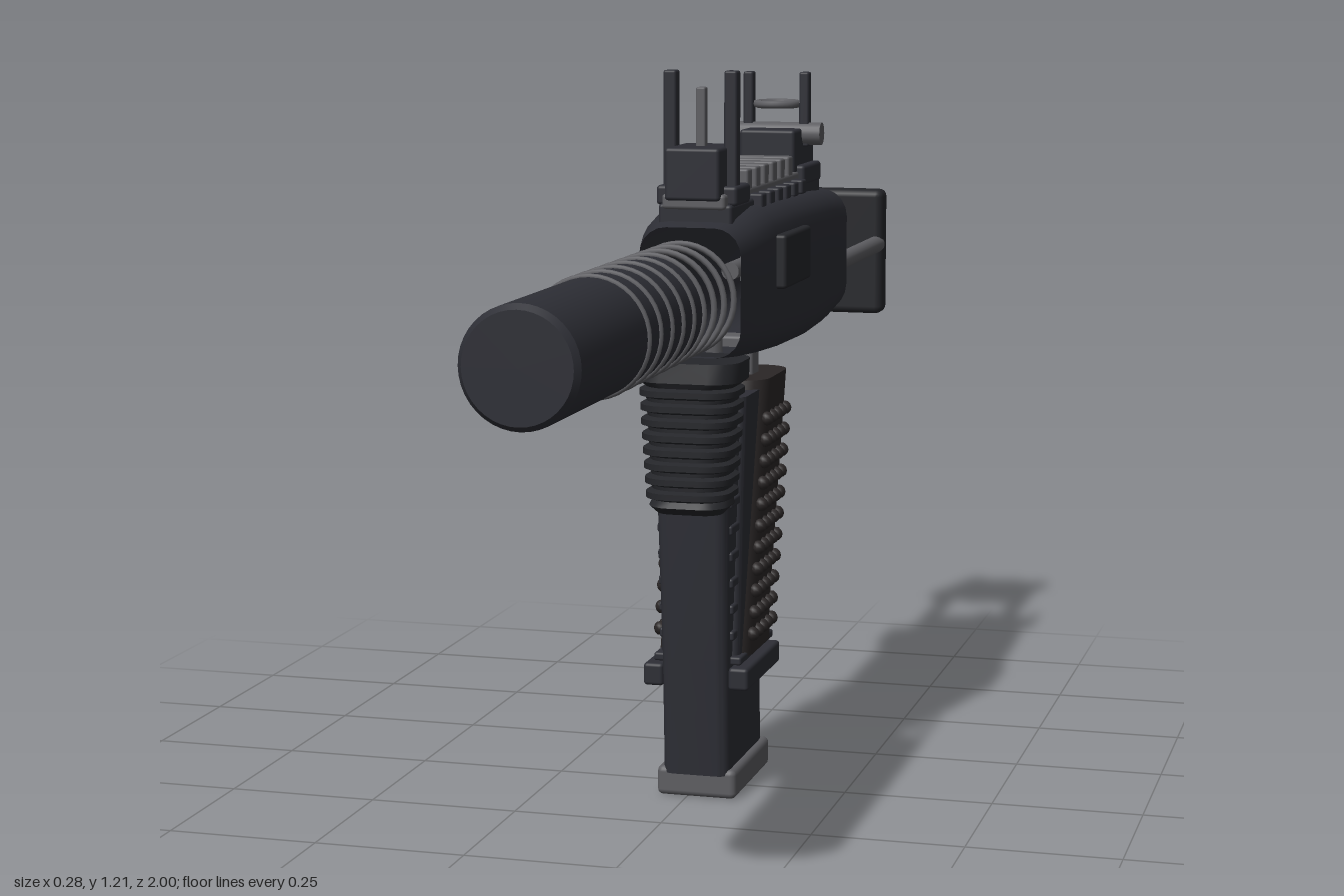
import * as THREE from 'three';
import { toCreasedNormals } from 'three/addons/utils/BufferGeometryUtils.js';
import { RoundedBoxGeometry } from 'three/addons/geometries/RoundedBoxGeometry.js';

const CX = 0.016; // centre line of the model
const mat = (color) => new THREE.MeshStandardMaterial({ color, side: THREE.DoubleSide });

// Rounded-rectangle loft along z; station: [z, halfWidth, v0, v1, radius]
function loft(stations, capped, crease = 0.6) {
  const K = 5, N = 4 * (K + 1), pos = [], idx = [];
  for (const [z, h, v0, v1, r] of stations) {
    const corners = [[h - r, v1 - r], [r - h, v1 - r], [r - h, v0 + r], [h - r, v0 + r]];
    corners.forEach(([x, v], q) => {
      for (let k = 0; k <= K; k++) {
        const a = (q + k / K) * Math.PI / 2;
        pos.push(x + r * Math.cos(a), v + r * Math.sin(a), z);
      }
    });
  }
  const last = stations.length - 1;
  for (let i = 0; i < last; i++) for (let j = 0; j < N; j++) {
    const a = i * N + j, b = i * N + (j + 1) % N;
    idx.push(a, b, b + N, a, b + N, a + N);
  }
  if (capped) for (const i of [0, last]) {
    const [z, , v0, v1] = stations[i], c = pos.length / 3;
    pos.push(0, (v0 + v1) / 2, z);
    for (let j = 0; j < N; j++) {
      const a = i * N + j, b = i * N + (j + 1) % N;
      if (i) idx.push(c, a, b); else idx.push(c, b, a);
    }
  }
  const g = new THREE.BufferGeometry();
  g.setAttribute('position', new THREE.Float32BufferAttribute(pos, 3));
  g.setIndex(idx);
  return toCreasedNormals(g, crease);
}

// Same loft standing upright; station: [y, halfWidth, zBack, zFront, radius]
const upright = (stations) =>
  loft(stations.map(([y, h, zb, zf, r]) => [y, h, -zf, -zb, r]), true).rotateX(-Math.PI / 2);

export function createModel() {
  const root = new THREE.Group();
  const dark = mat(0x2d2e35), black = mat(0x25262a), grey = mat(0x5e5e62), gripMat = mat(0x2a2626);

  const add = (name, geo, m, x = 0, y = 0, z = 0, parent = root) => {
    const mesh = new THREE.Mesh(geo, m);
    mesh.name = name;
    mesh.position.set(x, y, z);
    parent.add(mesh);
    return mesh;
  };
  // Box from ranges; x is relative to the centre line
  const box = (name, m, x0, x1, y0, y1, z0, z1, r = 0.006) =>
    add(name, new RoundedBoxGeometry(x1 - x0, y1 - y0, z1 - z0, 2, r), m,
      CX + (x0 + x1) / 2, (y0 + y1) / 2, (z0 + z1) / 2);
  const rodZ = (name, m, r, x, y, z0, z1) =>
    add(name, new THREE.CylinderGeometry(r, r, z1 - z0, 24).rotateX(Math.PI / 2), m, x, y, (z0 + z1) / 2);
  const rodX = (name, m, r, x0, x1, y, z) =>
    add(name, new THREE.CylinderGeometry(r, r, x1 - x0, 20).rotateZ(Math.PI / 2), m, CX + (x0 + x1) / 2, y, z);

  // Hollow receiver, open at both ends
  add('receiver', loft([
    [-0.585, 0.1, 0.74, 0.965, 0.05], [-0.45, 0.107, 0.73, 0.972, 0.05],
    [-0.3, 0.11, 0.726, 0.978, 0.05], [-0.15, 0.111, 0.73, 0.982, 0.05],
    [-0.02, 0.107, 0.736, 0.982, 0.05], [0.07, 0.098, 0.741, 0.972, 0.05],
    [0.13, 0.085, 0.747, 0.958, 0.045]], false), dark, CX);

  // Receiver side details
  box('sidePanel', black, 0.08, 0.124, 0.845, 0.935, -0.2, -0.02);
  box('cockingHandle', grey, -0.161, -0.09, 0.914, 0.952, -0.457, -0.32);
  rodX('sideButton', grey, 0.028, -0.124, -0.09, 0.792, -0.065);

  // Barrel, suppressor and rings
  rodZ('barrel', grey, 0.03, CX, 0.85, 0.18, 0.38);
  const profile = [[0, 0.37], [0.082, 0.37], [0.088, 0.376], [0.088, 0.99], [0.08, 1], [0, 1]]
    .map(([r, z]) => new THREE.Vector2(r, z));
  add('suppressor', toCreasedNormals(new THREE.LatheGeometry(profile, 40), 0.4).rotateX(Math.PI / 2), dark, CX, 0.85, 0);
  for (let i = 0; i < 9; i++)
    add('coolingRing', new THREE.TorusGeometry(0.088, 0.005, 8, 40), grey, CX, 0.85, 0.185 + i * 0.0605);

  // Sliding stock
  for (const s of [-1, 1]) rodZ('stockRod', grey, 0.016, CX + s * 0.077, 0.826, -0.96, -0.42);
  box('buttPlate', black, -0.09, 0.09, 0.69, 0.932, -1, -0.945, 0.014);

  // Top rail
  box('railBase', dark, -0.062, 0.062, 0.955, 0.993, -0.53, 0.1);
  box('railTop', grey, -0.053, 0.053, 0.985, 1.01, -0.52, 0.11);
  for (let i = 0; i < 6; i++) {
    const z = -0.06 - i * 0.0575;
    box('railTooth', grey, -0.052, 0.052, 1, 1.04, z - 0.015, z + 0.015, 0.004);
    for (const s of [-1, 1]) box('railLug', dark, s * 0.065 - 0.012, s * 0.065 + 0.012, 0.975, 1, z - 0.015, z + 0.015, 0.004);
  }

  // Front sight
  box('frontSightBase', dark, -0.046, 0.046, 1, 1.085, -0.008, 0.12);
  box('frontSightFoot', dark, -0.068, 0.068, 0.99, 1.022, 0, 0.09);
  box('frontSightPin', grey, -0.008, 0.008, 1.07, 1.18, 0.047, 0.065, 0.003);
  // Rear sight
  box('rearSightBase', dark, -0.05, 0.05, 1, 1.083, -0.53, -0.38);
  box('rearSightFoot', dark, -0.064, 0.064, 0.985, 1.02, -0.53, -0.4);
  rodX('rearSightKnob', grey, 0.02, -0.082, 0.082, 1.073, -0.455);
  add('rearSightRing', new THREE.TorusGeometry(0.036, 0.007, 8, 28).rotateX(Math.PI / 2), grey, CX, 1.125, -0.457);
  rodX('rearSightBar', grey, 0.006, -0.05, -0.03, 1.125, -0.457);
  rodX('rearSightBar', grey, 0.006, 0.03, 0.05, 1.125, -0.457);
  for (const s of [-1, 1]) {
    const a = s * 0.051;
    box('frontSightPost', dark, a - 0.011, a + 0.011, 1, 1.207, 0.043, 0.069, 0.004);
    box('rearSightPost', dark, a - 0.009, a + 0.009, 1.05, 1.182, -0.468, -0.445, 0.004);
  }

  // Magazine
  add('magazine', upright([
    [0.04, 0.057, -0.135, 0.1, 0.02], [0.24, 0.057, -0.13, 0.11, 0.02],
    [0.5, 0.06, -0.1, 0.128, 0.02], [0.62, 0.06, -0.08, 0.13, 0.02]]), dark, CX);
  box('magazineBase', grey, -0.068, 0.068, 0, 0.05, -0.142, 0.095, 0.01);
  for (let i = 0; i < 6; i++) {
    const y = 0.27 + i * 0.045, f = 0.105 + i * 0.003;
    box('magazineRib', dark, -0.064, 0.064, y, y + 0.016, 0.02, f - 0.015, 0.004);
  }

  // Magazine well
  add('magazineWell', upright([
    [0.235, 0.068, -0.08, 0.075, 0.015], [0.5, 0.068, -0.1, 0.055, 0.015],
    [0.67, 0.068, -0.13, 0.035, 0.015]]), dark, CX);
  for (const s of [-1, 1])
    box('wellBar', dark, s * 0.073 - 0.017, s * 0.073 + 0.017, 0.188, 0.226, -0.125, 0.098);
  box('wellBand', dark, -0.075, 0.075, 0.228, 0.242, -0.137, 0.085, 0.004);

  // Raked pistol grip with studs on both sides
  const gripFront = (y) => THREE.MathUtils.mapLinear(y, 0.235, 0.685, 0.07, -0.05);
  const gripBack = (y) => y < 0.3 ? -0.136 : THREE.MathUtils.mapLinear(y, 0.3, 0.685, -0.136, -0.247);
  add('grip', upright([0.235, 0.3, 0.45, 0.6, 0.685].map((y) =>
    [y, 0.079, gripBack(y), gripFront(y), 0.045])), gripMat, CX);
  const stud = new THREE.SphereGeometry(0.012, 8, 6);
  for (const s of [-1, 1]) for (let row = 0; row < 11; row++) for (let c = 0; c < 5; c++) {
    const y = 0.27 + row * 0.035;
    const z = THREE.MathUtils.lerp(gripFront(y) - 0.035, gripBack(y) + 0.035, c / 4);
    add('gripStud', stud, gripMat, CX + s * 0.08, y, z);
  }
  box('gripMount', grey, -0.04, 0.04, 0.66, 0.75, -0.172, -0.125);

  // Trigger
  const path = new THREE.CatmullRomCurve3([[0.76, -0.02], [0.71, -0.022], [0.68, -0.01], [0.64, 0.005]]
    .map(([y, z]) => new THREE.Vector3(CX, y, z)));
  add('trigger', new THREE.TubeGeometry(path, 12, 0.015, 10), grey);

  // Ribbed foregrip
  const fore = [[0.492, 0.055, 0.06, 0.158, 0.03], [0.505, 0.066, 0.054, 0.176, 0.04]];
  for (let i = 0; i < 8; i++) {
    const y = 0.515 + i * 0.024, h = 0.068 + i * 0.0015;
    fore.push([y, h - 0.005, 0.052, 0.172, 0.045], [y + 0.004, h + 0.003, 0.047, 0.182, 0.045],
      [y + 0.014, h + 0.003, 0.047, 0.182, 0.045], [y + 0.018, h - 0.005, 0.05, 0.172, 0.045]);
  }
  fore.push([0.71, 0.085, 0.035, 0.176, 0.045], [0.742, 0.085, 0.03, 0.17, 0.045]);
  add('foregrip', upright(fore), black, CX);

  return root;
}
